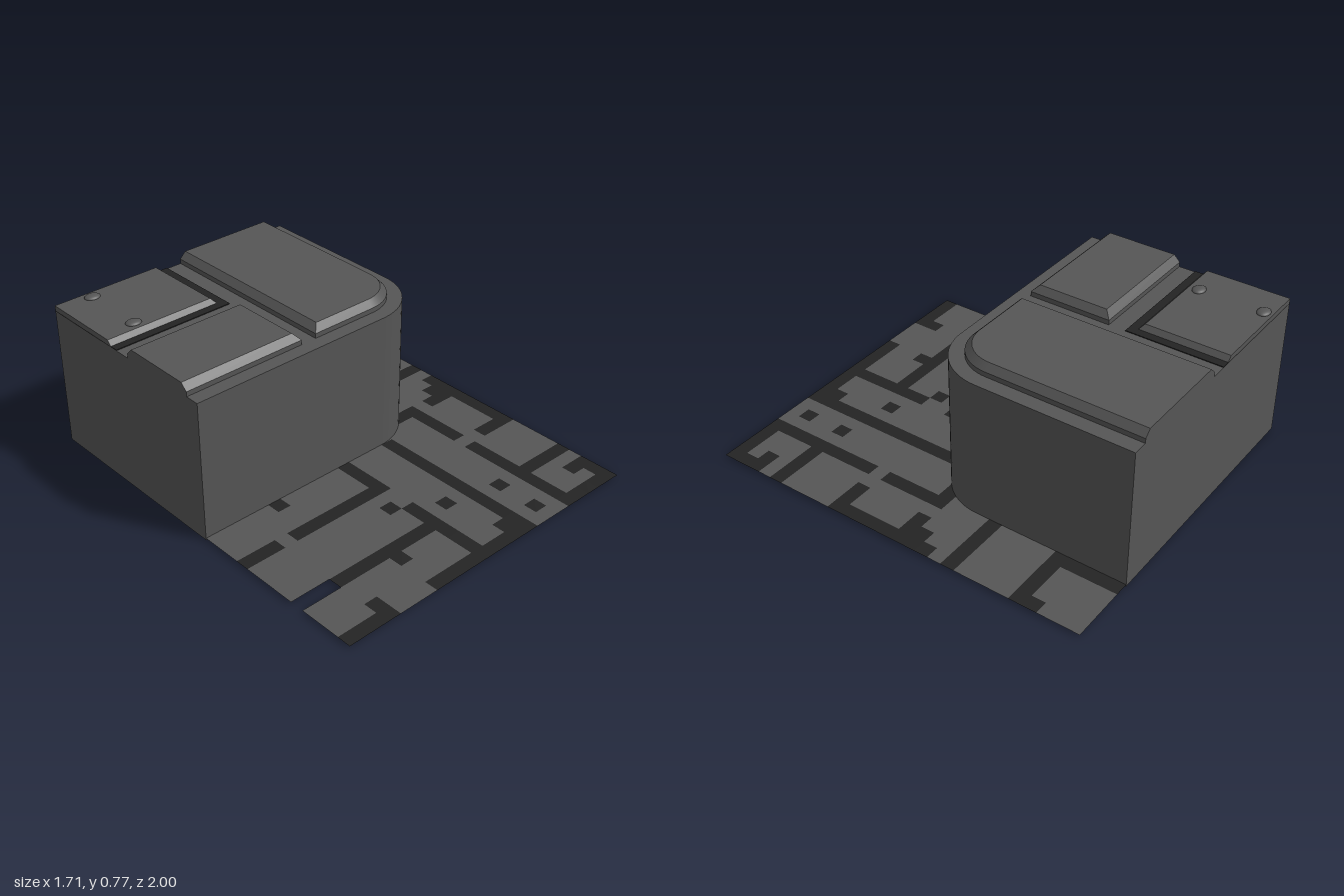
import * as THREE from 'three';
import { mergeGeometries, toCreasedNormals } from 'three/addons/utils/BufferGeometryUtils.js';

const CELL = 1 / 14; // tile size of the floor pattern
const LEFT = -12 * CELL;
const BACK = -1;

// Outline seen from above: back-left, front-left, (rounded) front-right, back-right
function outline(x0, x1, z0, z1, r = 0) {
  const pts = [[x0, z0], [x0, z1]];
  const steps = r > 0 ? 16 : 0;
  for (let i = 0; i <= steps; i++) {
    const a = steps ? (i / steps) * Math.PI / 2 : 0;
    pts.push([x1 - r + r * Math.sin(a), z1 - r + r * Math.cos(a)]);
  }
  pts.push([x1, z0]);
  return pts;
}

// Closed solid through a stack of matching outlines at given heights
function stack(levels) {
  const pos = [];
  const put = (l, i) => pos.push(l.pts[i][0], l.y, l.pts[i][1]);
  const n = levels[0].pts.length;
  for (let k = 0; k < levels.length - 1; k++) {
    const a = levels[k], b = levels[k + 1];
    for (let i = 0; i < n; i++) {
      const j = (i + 1) % n;
      put(a, i); put(a, j); put(b, j);
      put(a, i); put(b, j); put(b, i);
    }
  }
  const low = levels[0], high = levels[levels.length - 1];
  const flat = high.pts.map(([x, z]) => new THREE.Vector2(x, -z));
  for (const [i, j, k] of THREE.ShapeUtils.triangulateShape(flat, [])) {
    put(high, i); put(high, j); put(high, k);
    put(low, k); put(low, j); put(low, i);
  }
  const g = new THREE.BufferGeometry();
  g.setAttribute('position', new THREE.Float32BufferAttribute(pos, 3));
  g.computeVertexNormals();
  return toCreasedNormals(g, 0.5);
}

// Dark grooves of the floor as [column, row, width, height] in tiles
const GROOVES = [
  [19, 0, 1, 5], [19, 4, 5, 1], [23, 3, 1, 1], [19, 9, 5, 1],
  [23, 11, 1, 8], [22, 12, 1, 1], [21, 13, 2, 1], [17, 13, 3, 1],
  [19, 13, 1, 5], [21, 18, 3, 1], [19, 19, 1, 9], [19, 23, 5, 1],
  [17, 23, 1, 1], [17, 26, 1, 1], [22, 25, 2, 1], [23, 26, 1, 1],
  [19, 27, 5, 1], [15, 15, 1, 13], [14, 26, 1, 1], [7, 27, 9, 1],
  [11, 15, 1, 4], [4, 18, 8, 1], [0, 18, 3, 1], [5, 15, 1, 1],
  [10, 20, 1, 1], [11, 21, 1, 7], [13, 22, 1, 1], [3, 23, 9, 1],
  [7, 24, 1, 1], [0, 27, 4, 1], [3, 26, 1, 1],
];

export function createModel() {
  const grey = new THREE.MeshStandardMaterial({ color: 0x555555, side: THREE.DoubleSide });
  grey.name = 'grey';
  const charcoal = new THREE.MeshStandardMaterial({ color: 0x232323, side: THREE.DoubleSide });
  charcoal.name = 'charcoal';

  const model = new THREE.Group();
  model.name = 'panelBlock';
  const add = (name, geometry, material, parent = model) => {
    const mesh = new THREE.Mesh(geometry, material);
    mesh.name = name;
    parent.add(mesh);
    return mesh;
  };

  // Main block with one rounded corner
  const body = outline(LEFT, 0.5, BACK, CELL, 4 * CELL);
  add('body', stack([{ y: 0, pts: body }, { y: 0.714, pts: body }]), grey);

  // Raised top plates with bevelled inner edges
  const plate = (name, outer, inner) => add(name, stack([
    { y: 0.714, pts: outer }, { y: 0.738, pts: outer }, { y: 0.77, pts: inner },
  ]), grey);
  plate('roundedPlate',
    outline(-0.14, 0.426, BACK, 0, 3 * CELL),
    outline(-0.107, 0.395, BACK, -0.032, 3 * CELL - 0.032));
  plate('frontPlate',
    outline(LEFT, -0.222, -0.424, 0),
    outline(LEFT, -0.252, -0.392, -0.032));

  // Low hatch on a dark seat, held by two bolts
  const hatch = new THREE.Group();
  hatch.name = 'hatch';
  model.add(hatch);
  const seat = outline(LEFT, -0.222, BACK, -0.51);
  add('hatchSeat', stack([{ y: 0.712, pts: seat }, { y: 0.718, pts: seat }]), charcoal, hatch);
  add('hatchPanel', stack([
    { y: 0.716, pts: outline(LEFT, -0.262, BACK, -0.55) },
    { y: 0.742, pts: outline(LEFT, -0.286, BACK, -0.573) },
  ]), grey, hatch);
  for (const z of [-0.955, -0.625]) {
    const bolt = add('bolt', new THREE.SphereGeometry(1, 20, 12), grey, hatch);
    bolt.scale.set(0.04, 0.014, 0.032);
    bolt.position.set(-0.682, 0.742, z);
  }

  // Tiled floor around the block, with one missing strip
  const tiles = { grey: [], dark: [] };
  for (let r = 0; r < 28; r++) {
    for (let c = 0; c < 24; c++) {
      const underBody = (c < 15 && r < 15) || (c < 19 && r < 11);
      const missing = r === 23 && c < 3;
      if (underBody || missing) continue;
      const dark = GROOVES.some(([gc, gr, w, h]) => c >= gc && c < gc + w && r >= gr && r < gr + h);
      const tile = new THREE.PlaneGeometry(CELL, CELL);
      tile.rotateX(-Math.PI / 2);
      tile.translate(LEFT + (c + 0.5) * CELL, 0.01, BACK + (r + 0.5) * CELL);
      tiles[dark ? 'dark' : 'grey'].push(tile);
    }
  }
  add('floorTiles', mergeGeometries(tiles.grey), grey);
  add('floorGrooves', mergeGeometries(tiles.dark), charcoal);

  return model;
}
